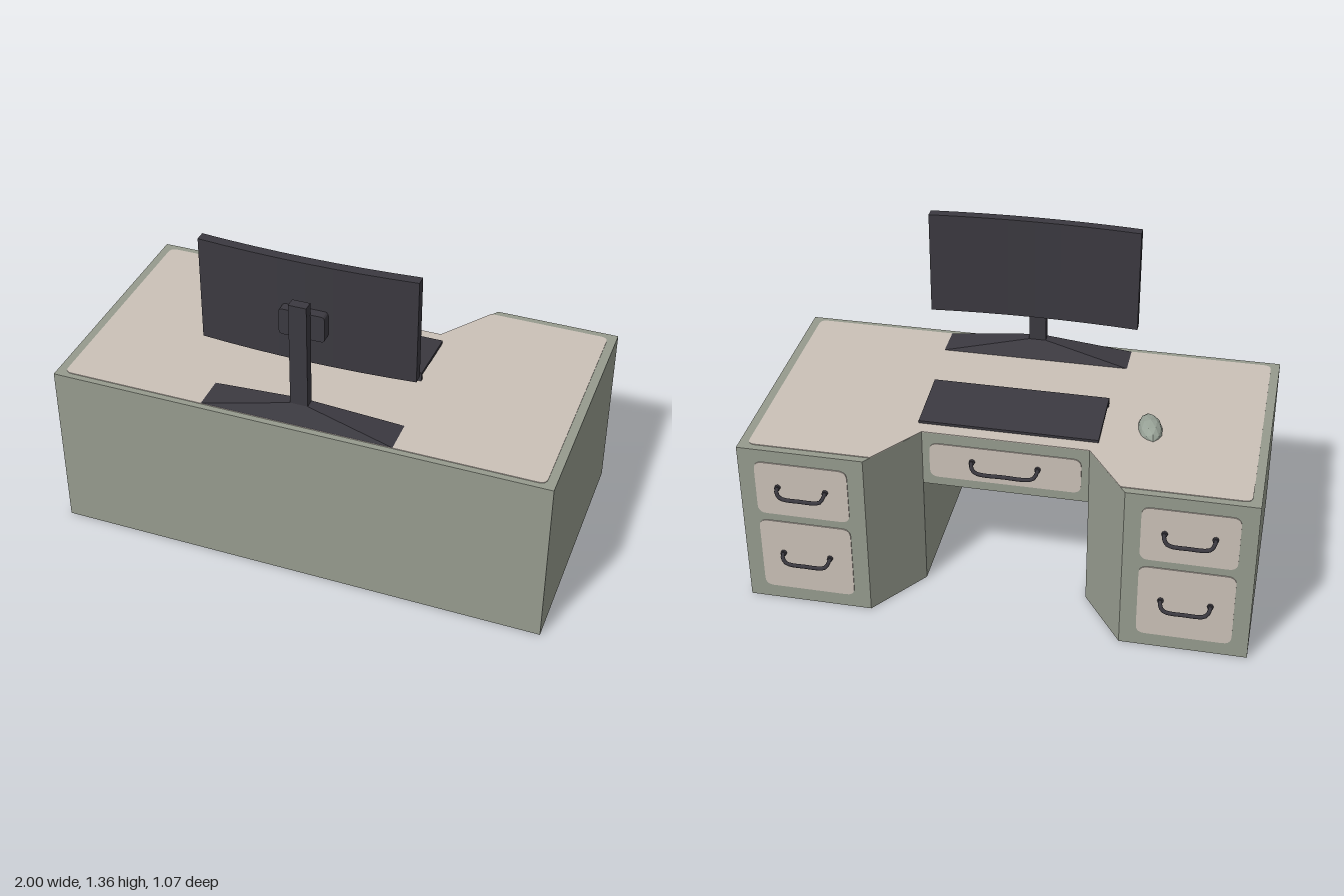
import * as THREE from 'three';

const H = 0.715, KNEE = 0.475, FACE = -0.51;

const paint = new THREE.MeshStandardMaterial({ name: 'grey green paint', color: 0x969b8e, side: THREE.DoubleSide });
const beige = new THREE.MeshStandardMaterial({ name: 'warm beige', color: 0xcbc1b8 });
const dark = new THREE.MeshStandardMaterial({ name: 'charcoal', color: 0x3b3940 });
const mouseGrey = new THREE.MeshStandardMaterial({ name: 'mouse grey', color: 0x98a297, flatShading: true });

function add(parent, name, geometry, material, x = 0, y = 0, z = 0) {
  const mesh = new THREE.Mesh(geometry, material);
  mesh.name = name;
  mesh.position.set(x, y, z);
  parent.add(mesh);
  return mesh;
}

// Upright sheet following [x, z] points
function wall(points, y0, y1) {
  const pos = [];
  for (let i = 0; i < points.length - 1; i++) {
    const [ax, az] = points[i], [bx, bz] = points[i + 1];
    pos.push(ax, y0, az, bx, y0, bz, bx, y1, bz, ax, y0, az, bx, y1, bz, ax, y1, az);
  }
  const g = new THREE.BufferGeometry();
  g.setAttribute('position', new THREE.Float32BufferAttribute(pos, 3));
  g.computeVertexNormals();
  return g;
}

// Shape drawn in (x, -z), laid flat
function floorShape(points) {
  return new THREE.Shape(points.map(([x, z]) => new THREE.Vector2(x, -z)));
}
function slab(shape, height) {
  return new THREE.ExtrudeGeometry(shape, { depth: height, bevelEnabled: false, curveSegments: 5 }).rotateX(-Math.PI / 2);
}

function roundedRect(w, h, r) {
  const s = new THREE.Shape(), x = w / 2, y = h / 2;
  s.moveTo(-x + r, -y);
  s.lineTo(x - r, -y); s.quadraticCurveTo(x, -y, x, -y + r);
  s.lineTo(x, y - r); s.quadraticCurveTo(x, y, x - r, y);
  s.lineTo(-x + r, y); s.quadraticCurveTo(-x, y, -x, y - r);
  s.lineTo(-x, -y + r); s.quadraticCurveTo(-x, -y, -x + r, -y);
  return s;
}

// Drawer front with a drooping bar handle, facing -z
function drawer(parent, x, y0, y1, w, face, handleW) {
  const g = new THREE.Group();
  g.name = 'drawer';
  g.position.set(x, (y0 + y1) / 2, face);
  parent.add(g);
  const plate = new THREE.ExtrudeGeometry(roundedRect(w, y1 - y0, 0.035), { depth: 0.004, bevelEnabled: false, curveSegments: 5 });
  add(g, 'drawerFront', plate, beige, 0, 0, -0.004);
  const k = handleW / 2;
  const path = new THREE.CatmullRomCurve3([
    [-k + 0.01, 0.012, 0], [-k + 0.01, 0.008, -0.025], [-k + 0.025, -0.015, -0.035],
    [0, -0.02, -0.038],
    [k - 0.025, -0.015, -0.035], [k - 0.01, 0.008, -0.025], [k - 0.01, 0.012, 0],
  ].map((p) => new THREE.Vector3(...p)));
  add(g, 'handle', new THREE.TubeGeometry(path, 20, 0.008, 6), dark);
  for (const s of [-1, 1]) {
    add(g, 'handleMount', new THREE.CylinderGeometry(0.012, 0.012, 0.012, 8).rotateX(Math.PI / 2), dark, s * (k - 0.01), 0.012, -0.008);
  }
}

function buildDesk(root) {
  const desk = new THREE.Group();
  desk.name = 'desk';
  root.add(desk);

  // Hollow shell, open underneath
  add(desk, 'outerWalls', wall([[-0.33, -0.27], [-0.5, FACE], [-1, FACE], [-1, 0.51], [1, 0.51], [1, FACE], [0.5, FACE], [0.33, -0.27]], 0, H), paint);
  add(desk, 'drawerRail', wall([[0.33, -0.27], [-0.33, -0.27]], KNEE, H), paint);
  add(desk, 'kneeWalls', wall([[0.33, -0.27], [0.33, 0.43], [-0.33, 0.43], [-0.33, -0.27]], 0, KNEE), paint);
  add(desk, 'kneeCeiling', new THREE.PlaneGeometry(0.66, 0.7).rotateX(Math.PI / 2), paint, 0, KNEE, 0.08);

  // Top with beige inlay reaching the cutout edge
  const top = floorShape([[-1, 0.51], [1, 0.51], [1, FACE], [0.5, FACE], [0.33, -0.27], [-0.33, -0.27], [-0.5, FACE], [-1, FACE]]);
  add(desk, 'deskTop', new THREE.ShapeGeometry(top).rotateX(-Math.PI / 2), paint, 0, H, 0);
  const r = 0.03, x = 0.965, f = 0.485, b = 0.48;
  const inlay = new THREE.Shape();
  inlay.moveTo(-x + r, -f);
  inlay.lineTo(x - r, -f); inlay.quadraticCurveTo(x, -f, x, -f + r);
  inlay.lineTo(x, b - r); inlay.quadraticCurveTo(x, b, x - r, b);
  inlay.lineTo(0.479, b); inlay.lineTo(0.33, 0.27);
  inlay.lineTo(-0.33, 0.27); inlay.lineTo(-0.479, b);
  inlay.lineTo(-x + r, b); inlay.quadraticCurveTo(-x, b, -x, b - r);
  inlay.lineTo(-x, -f + r); inlay.quadraticCurveTo(-x, -f, -x + r, -f);
  add(desk, 'topInlay', slab(inlay, 0.003), beige, 0, H, 0);

  // Drawers
  for (const s of [-1, 1]) {
    drawer(desk, s * 0.75, 0.42, 0.66, 0.37, FACE, 0.21);
    drawer(desk, s * 0.75, 0.06, 0.385, 0.37, FACE, 0.21);
  }
  drawer(desk, 0, 0.515, 0.67, 0.6, -0.27, 0.28);
}

function buildMonitor(root) {
  const monitor = new THREE.Group();
  monitor.name = 'monitor';
  root.add(monitor);

  // Gently curved screen
  const front = [], back = [];
  for (let i = 0; i <= 8; i++) {
    const t = i / 4 - 1, z = 0.325 - 0.02 * t * t;
    front.push([t * 0.425, z]);
    back.unshift([t * 0.425, z + 0.04]);
  }
  add(monitor, 'screen', slab(floorShape([...front, ...back]), 0.43), dark, 0, 0.93, 0);

  // Mount, post and tapered foot
  add(monitor, 'mount', new THREE.ExtrudeGeometry(roundedRect(0.18, 0.11, 0.015), { depth: 0.045, bevelEnabled: false, curveSegments: 3 }), dark, 0, 1.115, 0.357);
  add(monitor, 'post', new THREE.BoxGeometry(0.07, 0.46, 0.04), dark, 0, 0.99, 0.42);
  const foot = new THREE.BoxGeometry(0.78, 0.065, 0.14);
  const p = foot.attributes.position;
  for (let i = 0; i < p.count; i++) {
    if (p.getY(i) > 0) p.setXYZ(i, Math.sign(p.getX(i)) * 0.035, p.getY(i), 0.005 + Math.sign(p.getZ(i)) * 0.02);
  }
  foot.computeVertexNormals();
  add(monitor, 'foot', foot, dark, 0, H + 0.0345, 0.415);
}

function buildKeyboard(root) {
  const keyboard = new THREE.Group();
  keyboard.name = 'keyboard';
  root.add(keyboard);
  const board = add(keyboard, 'keyboardSlab', new THREE.BoxGeometry(0.71, 0.013, 0.268), dark, 0, 0.735, -0.08);
  board.rotation.x = -0.09;
  add(keyboard, 'keyboardFoot', new THREE.BoxGeometry(0.71, 0.036, 0.016), dark, 0, 0.734, 0.05);
}

function buildMouse(root) {
  // Low-poly dome, flattened underneath
  const g = new THREE.IcosahedronGeometry(1, 1);
  const p = g.attributes.position;
  for (let i = 0; i < p.count; i++) {
    p.setXYZ(i, p.getX(i) * 0.047, Math.max(p.getY(i), 0) * 0.043, p.getZ(i) * 0.09);
  }
  g.computeVertexNormals();
  add(root, 'mouse', g, mouseGrey, -0.537, H + 0.003, -0.078).rotation.y = 0.25;
}

export function createModel() {
  const root = new THREE.Group();
  root.name = 'deskWithComputer';
  buildDesk(root);
  buildMonitor(root);
  buildKeyboard(root);
  buildMouse(root);
  return root;
}
